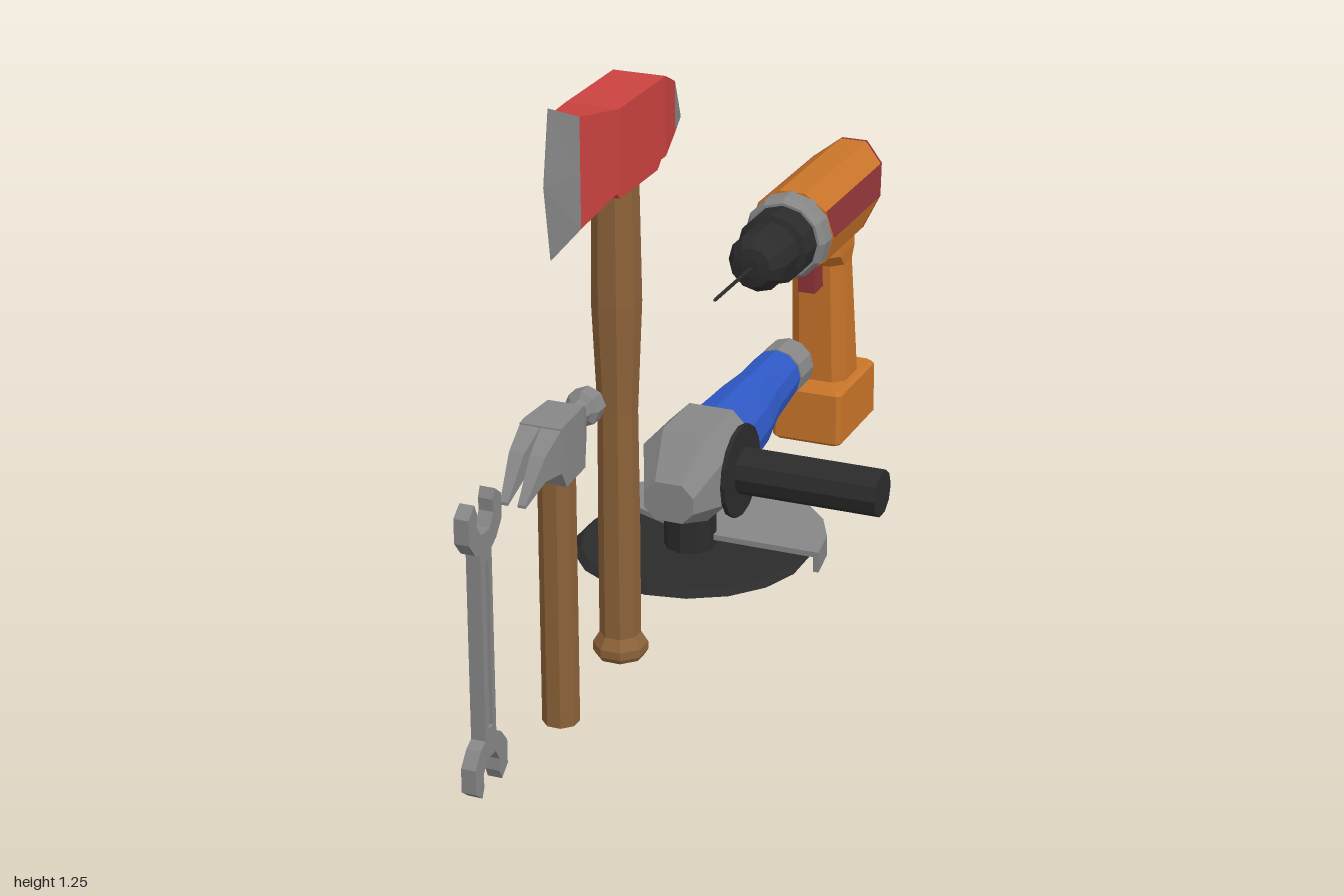
import * as THREE from 'three';

const CX = -0.075; // common centre line of the tools
const mat = (color) => new THREE.MeshStandardMaterial({ color, flatShading: true, side: THREE.DoubleSide });
const M = {
  steel: mat(0x868686), wood: mat(0x8c6239), red: mat(0xc9423f), darkRed: mat(0x8a3236),
  blue: mat(0x2e58c4), orange: mat(0xc87429), black: mat(0x2b2b2b),
};

function add(parent, name, geometry, material, x = 0, y = 0, z = 0) {
  const mesh = new THREE.Mesh(geometry, material);
  mesh.name = name;
  mesh.position.set(x, y, z);
  parent.add(mesh);
  return mesh;
}

function group(parent, name, x = CX) {
  const g = new THREE.Group();
  g.name = name;
  g.position.x = x;
  parent.add(g);
  return g;
}

// Skin a solid through rings of [x, y, z], with both ends closed
function loft(rings) {
  const tris = [], n = rings[0].length, last = rings[rings.length - 1];
  for (let r = 0; r < rings.length - 1; r++) {
    for (let i = 0; i < n; i++) {
      const j = (i + 1) % n, a = rings[r], b = rings[r + 1];
      tris.push([a[i], a[j], b[j]], [a[i], b[j], b[i]]);
    }
  }
  for (let i = 1; i < n - 1; i++) {
    tris.push([rings[0][0], rings[0][i + 1], rings[0][i]], [last[0], last[i], last[i + 1]]);
  }
  // turn the faces outward if the enclosed volume is negative
  let volume = 0;
  const [a, b, c] = [0, 1, 2].map(() => new THREE.Vector3());
  for (const t of tris) volume += a.fromArray(t[0]).dot(b.fromArray(t[1]).cross(c.fromArray(t[2])));
  if (volume < 0) tris.forEach((t) => t.reverse());
  const g = new THREE.BufferGeometry();
  g.setAttribute('position', new THREE.Float32BufferAttribute(tris.flat(2), 3));
  g.computeVertexNormals();
  return g;
}

// Ring shapes across the z axis
const oval = (z, hw, top, bottom, n = 12) => Array.from({ length: n }, (_, i) => {
  const t = (i / n) * Math.PI * 2;
  return [Math.cos(t) * hw, (top + bottom) / 2 + Math.sin(t) * (top - bottom) / 2, z];
});
const oct = (z, hw, t, b, c) => [
  [hw - c, t, z], [hw, t - c, z], [hw, b + c, z], [hw - c, b, z],
  [c - hw, b, z], [-hw, b + c, z], [-hw, t - c, z], [c - hw, t, z],
];
const rect = (z, x0, x1, t, b) => [[x0, t, z], [x1, t, z], [x1, b, z], [x0, b, z]];
const slab = (h, t, m, b) => [ // six-point ring from [z, y] at top, middle and bottom
  [-h, t[1], t[0]], [-h, m[1], m[0]], [-h, b[1], b[0]], [h, b[1], b[0]], [h, m[1], m[0]], [h, t[1], t[0]],
];
const blade = (z, h, t, b) => slab(h, [z, t], [z, (t + b) / 2], [z, b]);
// Turned solid along z from [radius, z] points
const turnedZ = (pts, n) => loft(pts.map(([r, z]) => oval(z, r, r, -r, n)));

function wrench(root) {
  const g = group(root, 'wrench', -0.092);
  const half = [[0.018, 0.54], [0.035, 0.565], [0.033, 0.59], [0.042, 0.61], [0.068, 0.59],
    [0.068, 0.54], [0.043, 0.51], [0.023, 0.5]];
  const mid = 0.31, side = [...half, ...half.map(([z, y]) => [z, 2 * mid - y]).reverse()];
  const outline = [...side, ...side.map(([z, y]) => [-z, y]).reverse()];
  const shape = new THREE.Shape(outline.map(([z, y]) => new THREE.Vector2(z, y)));
  shape.holes.push(new THREE.Path([[-0.01, 0.14], [0.01, 0.14], [0.01, 0.48], [-0.01, 0.48]]
    .map((p) => new THREE.Vector2(...p))));
  const geo = new THREE.ExtrudeGeometry(shape, { depth: 0.03, bevelEnabled: false });
  geo.translate(0, 0, -0.015).rotateY(-Math.PI / 2);
  add(g, 'wrenchBody', geo, M.steel, 0, 0, 0.932);
  add(g, 'wrenchGroove', new THREE.BoxGeometry(0.016, 0.35, 0.022), M.steel, 0, mid, 0.932);
}

function hammer(root) {
  const g = group(root, 'hammer');
  add(g, 'hammerHandle', new THREE.CylinderGeometry(0.037, 0.037, 0.54, 8), M.wood, 0, 0.275, 0.628)
    .rotation.y = Math.PI / 8;
  add(g, 'hammerHead', loft([
    rect(0.695, -0.043, 0.043, 0.655, 0.565), rect(0.675, -0.043, 0.043, 0.658, 0.53),
    rect(0.58, -0.038, 0.038, 0.658, 0.53), rect(0.55, -0.028, 0.028, 0.638, 0.585),
  ]), M.steel);
  add(g, 'hammerFace', turnedZ([[0.025, 0.56], [0.025, 0.52], [0.037, 0.512], [0.037, 0.478], [0.032, 0.47]], 8),
    M.steel, 0, 0.617);
  for (const s of [-1, 1]) {
    add(g, 'claw', loft([
      rect(0.69, 0, s * 0.043, 0.655, 0.565), rect(0.755, s * 0.006, s * 0.037, 0.622, 0.572),
      rect(0.82, s * 0.01, s * 0.026, 0.549, 0.543),
    ]), M.steel);
  }
}

function axe(root) {
  const g = group(root, 'axe');
  const profile = [[0, 0.015], [0.05, 0.015], [0.056, 0.025], [0.056, 0.042], [0.042, 0.065], [0.042, 0.3],
    [0.04, 0.55], [0.05, 0.78], [0.046, 1.06], [0, 1.06]].map((p) => new THREE.Vector2(...p));
  add(g, 'axeHandle', new THREE.LatheGeometry(profile, 8), M.wood, 0, 0, 0.34).rotation.y = Math.PI / 8;
  add(g, 'axeHead', loft([
    blade(0.56, 0.028, 1.225, 1.005), blade(0.44, 0.055, 1.207, 1.045),
    blade(0.22, 0.055, 1.207, 1.045), blade(0.115, 0.03, 1.163, 1.058),
  ]), M.red);
  add(g, 'axeCollar', loft([
    rect(0.45, -0.05, 0.05, 1.06, 1.045), rect(0.43, -0.05, 0.05, 1.06, 1.025),
    rect(0.25, -0.05, 0.05, 1.06, 1.025), rect(0.2, -0.045, 0.045, 1.06, 1.055),
  ]), M.red);
  add(g, 'axeBlade', loft([
    blade(0.56, 0.028, 1.225, 1.005), slab(0.001, [0.635, 1.26], [0.66, 1.115], [0.635, 0.965]),
  ]), M.steel);
  add(g, 'axeSpike', loft([blade(0.115, 0.03, 1.163, 1.058), blade(0.022, 0.002, 1.062, 1.057)]), M.steel);
}

function grinder(root) {
  const g = group(root, 'angleGrinder');
  add(g, 'grinderBody', loft([
    oval(-0.13, 0.09, 0.357, 0.183), oval(-0.3, 0.078, 0.357, 0.197),
    oval(-0.39, 0.062, 0.355, 0.217), oval(-0.515, 0.058, 0.355, 0.24),
  ]), M.blue);
  add(g, 'grinderJoint', loft([oval(-0.51, 0.052, 0.347, 0.245), oval(-0.525, 0.052, 0.347, 0.245)]), M.black);
  add(g, 'grinderEndCap', loft([
    oval(-0.522, 0.058, 0.354, 0.236), oval(-0.595, 0.058, 0.354, 0.236), oval(-0.605, 0.052, 0.348, 0.242),
  ]), M.steel);
  add(g, 'gearHead', loft([
    oct(-0.14, 0.094, 0.368, 0.172, 0.045), oct(0.0, 0.094, 0.368, 0.172, 0.045), oct(0.09, 0.055, 0.285, 0.2, 0.025),
  ]), M.steel);
  // side handle with its flange
  add(g, 'handleFlange', new THREE.CylinderGeometry(0.1, 0.1, 0.01, 16), M.black, 0.097, 0.268, -0.065)
    .rotation.z = Math.PI / 2;
  add(g, 'sideHandle', new THREE.CylinderGeometry(0.05, 0.05, 0.315, 10), M.black, 0.253, 0.268, -0.068)
    .rotation.z = Math.PI / 2;
  // spindle, disc and guard
  add(g, 'spindle', new THREE.CylinderGeometry(0.055, 0.055, 0.09, 10), M.black, 0, 0.135, -0.025);
  add(g, 'grindingDisc', new THREE.CylinderGeometry(0.235, 0.25, 0.012, 18), M.black, 0, 0.095, -0.035);
  const sweep = THREE.MathUtils.degToRad(157), steps = 9;
  const arc = (r) => Array.from({ length: steps + 1 }, (_, i) =>
    new THREE.Vector2(Math.cos((i / steps) * sweep) * r, Math.sin((i / steps) * sweep) * r));
  const flat = (pts, depth) => new THREE.ExtrudeGeometry(new THREE.Shape(pts), { depth, bevelEnabled: false })
    .rotateX(-Math.PI / 2);
  add(g, 'guardPlate', flat([new THREE.Vector2(0, 0), ...arc(0.28)], 0.012), M.steel, 0.008, 0.118, -0.025);
  add(g, 'guardRim', flat([...arc(0.28), ...arc(0.268).reverse()], 0.04), M.steel, 0.008, 0.085, -0.025);
}

function drill(root) {
  const g = group(root, 'drill');
  const R = 0.098, Y = 0.6, FRONT = -0.605;
  const rear = (y) => -1.0 + (0.693 - y) * 1.02; // slanted back end
  const rearRing = (ring, off = 0) => ring.map(([x, y]) => [x, y, rear(y) + off]);
  const ring = oval(FRONT, R, Y + R, Y - R, 10);
  add(g, 'drillBody', loft([ring, rearRing(ring, 0.008)]), M.orange);
  add(g, 'drillBackPlate', loft([rearRing(ring, 0.008), rearRing(ring)]), M.darkRed);
  for (const i of [0, 4]) {
    const wedge = [[0, Y, FRONT - 0.002], ...[i, i + 1].map((k) =>
      [ring[k][0] * 1.01, Y + (ring[k][1] - Y) * 1.01, FRONT - 0.002])];
    add(g, 'sideStripe', loft([wedge, rearRing(wedge, 0.004)]), M.darkRed);
  }
  add(g, 'drillCollar', turnedZ([[0.095, -0.61], [0.095, -0.565], [0.086, -0.55]], 12), M.steel, 0, Y);
  add(g, 'chuck', turnedZ([[0.08, -0.56], [0.08, -0.485], [0.066, -0.48], [0.066, -0.4], [0.045, -0.365],
    [0.02, -0.36]], 12), M.black, 0, Y);
  add(g, 'drillBit', turnedZ([[0.004, -0.37], [0.004, -0.165], [0.001, -0.155]], 6), M.black, 0, Y);
  // grip: chamfered sections stacked in y
  const grip = (y, zc, hz, hx) => oct(0, hx, hz, -hz, 0.025).map(([x, d]) => [x, y, zc + d]);
  add(g, 'drillGrip', loft([
    grip(0.54, -0.785, 0.07, 0.065), grip(0.505, -0.785, 0.07, 0.065), grip(0.475, -0.797, 0.05, 0.062),
    grip(0.185, -0.822, 0.062, 0.065),
  ]), M.orange);
  add(g, 'trigger', new THREE.BoxGeometry(0.04, 0.1, 0.06), M.darkRed, 0, 0.475, -0.727);
  const pack = (y, i) => oct(0, 0.083 - i, 0.117 - i, i - 0.117, 0.01).map(([x, d]) => [x, y, d - 0.818]);
  add(g, 'batteryPack', loft([pack(0.057, 0.008), pack(0.065, 0), pack(0.182, 0), pack(0.19, 0.008)]), M.orange);
}

export function createModel() {
  const root = new THREE.Group();
  root.name = 'toolSet';
  [wrench, hammer, axe, grinder, drill].forEach((build) => build(root));
  return root;
}
